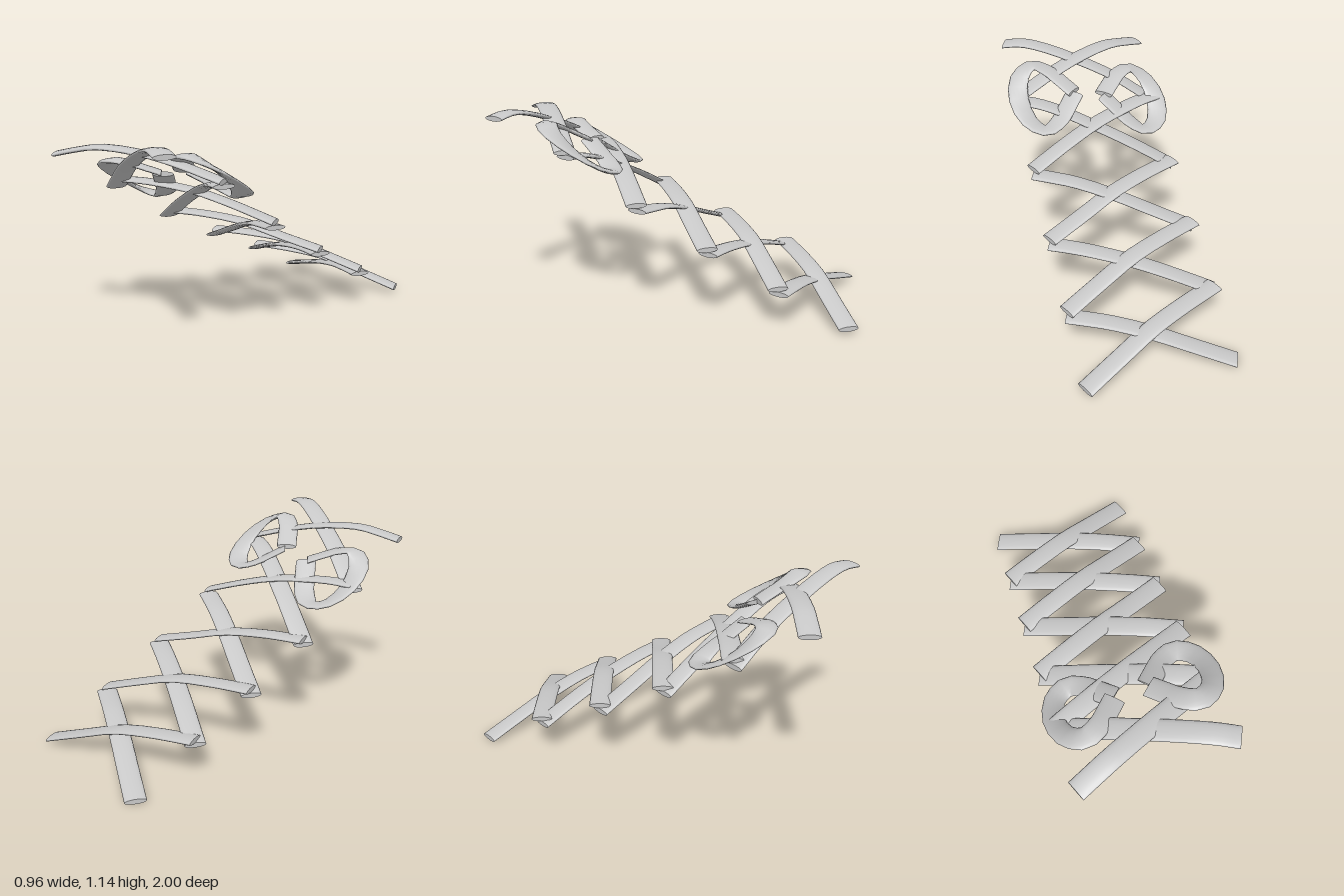
import * as THREE from 'three';

const SIDES = 14;

// Sweep a flat lens section along a curve; its width always stays level.
function laceGeometry(points, segments, halfWidth = 0.058, halfHeight = 0.014) {
  const curve = new THREE.CatmullRomCurve3(points);
  const positions = [], index = [], rings = [];
  const up = new THREE.Vector3(0, 1, 0);
  for (let i = 0; i <= segments; i++) {
    const c = curve.getPoint(i / segments);
    const side = up.clone().cross(curve.getTangent(i / segments)).normalize();
    const ring = [];
    for (let j = 0; j < SIDES; j++) {
      const a = (j / SIDES) * Math.PI * 2;
      const p = c.clone().addScaledVector(side, Math.cos(a) * halfWidth);
      p.y += Math.sin(a) * halfHeight;
      ring.push(p);
      positions.push(p.x, p.y, p.z);
    }
    rings.push({ c, ring });
  }
  for (let i = 0; i < segments; i++) {
    for (let j = 0; j < SIDES; j++) {
      const k = (j + 1) % SIDES;
      const a = i * SIDES + j, b = i * SIDES + k;
      index.push(a, b, a + SIDES, b, b + SIDES, a + SIDES);
    }
  }
  // End caps with their own vertices, so the cut stays sharp
  for (const [r, flip] of [[rings[0], true], [rings[segments], false]]) {
    const base = positions.length / 3;
    for (const p of [r.c, ...r.ring]) positions.push(p.x, p.y, p.z);
    for (let j = 0; j < SIDES; j++) {
      const a = base + 1 + j, b = base + 1 + ((j + 1) % SIDES);
      if (flip) index.push(base, b, a);
      else index.push(base, a, b);
    }
  }
  const g = new THREE.BufferGeometry();
  g.setAttribute('position', new THREE.Float32BufferAttribute(positions, 3));
  g.setIndex(index);
  g.computeVertexNormals();
  return g;
}

export function createModel() {
  const model = new THREE.Group();
  model.name = 'laces';
  const grey = new THREE.MeshStandardMaterial({ color: 0xc8c8c8 });
  grey.name = 'laceGrey';

  const add = (name, geometry) => {
    const mesh = new THREE.Mesh(geometry, grey);
    mesh.name = name;
    model.add(mesh);
  };

  // Heights of each crossing pair, from the low end to the high end
  const across = [-0.42, -0.2, 0, 0.2, 0.32, 0.42];
  const rows = [
    { under: [0.016, 0.088, 0.152, 0.194, 0.204, 0.209], over: [0.033, 0.115, 0.187, 0.217, 0.226, 0.231] },
    { under: [0.203, 0.285, 0.348, 0.39, 0.406, 0.413], over: [0.238, 0.316, 0.38, 0.4, 0.404, 0.404] },
    { under: [0.37, 0.46, 0.543, 0.606, 0.625, 0.638], over: [0.44, 0.502, 0.562, 0.587, 0.592, 0.592] },
    { under: [0.563, 0.687, 0.786, 0.874, 0.908, 0.918], over: [0.668, 0.747, 0.804, 0.83, 0.836, 0.83] },
    { under: [0.795, 0.943, 1.035, 1.105, 1.126, 1.113], over: [0.943, 1.015, 1.06, 1.074, 1.052, 1.027] },
  ];
  rows.forEach((row, r) => {
    const zMid = -0.757 + 0.3785 * r;
    for (const [kind, dir] of [['under', 1], ['over', -1]]) {
      const pts = across.map((t, i) => new THREE.Vector3(dir * t, row[kind][i], zMid + 0.448 * t));
      add(`${kind}Lace${r + 1}`, laceGeometry(pts, 12));
    }
  });

  // Bow loops: one plan outline, mirrored, laid on a sloping plane
  const outline = [
    [0.09, 0.515], [0.155, 0.445], [0.22, 0.38], [0.3, 0.345], [0.38, 0.395],
    [0.422, 0.52], [0.385, 0.645], [0.3, 0.695], [0.21, 0.65], [0.15, 0.59], [0.09, 0.525],
  ];
  const loop = (dir, height, slope, tilt) => outline.map(([x, z]) =>
    new THREE.Vector3(dir * x, height + slope * (z - 0.52) + tilt * (x - 0.3), z));
  add('leftLoop', laceGeometry(loop(1, 0.945, 0.72, 0), 22));
  add('rightLoop', laceGeometry(loop(-1, 0.852, 0.69, -0.25), 22));

  return model;
}
